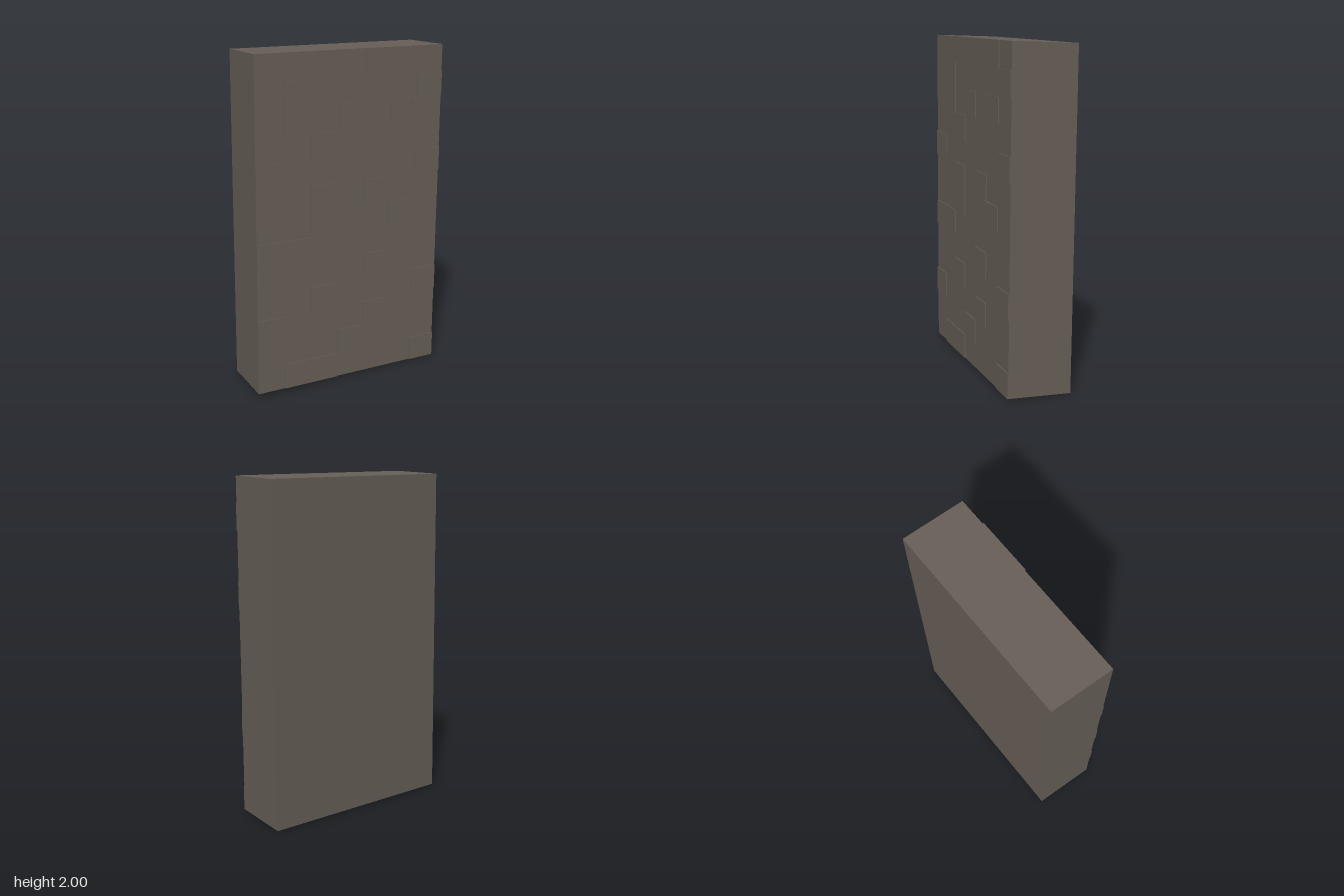
import * as THREE from 'three';

// Tile layout: [column, row from the top, columns wide, rows tall]
const COLS = 7, ROWS = 13;
const TILES = [
  [4, 0, 2, 1], [6, 1, 1, 1], [1, 1, 1, 2], [3, 2, 1, 1], [5, 2, 1, 1],
  [2, 3, 1, 1], [0, 4, 1, 1], [6, 4, 1, 1], [2, 5, 1, 2], [4, 5, 1, 1],
  [5, 6, 1, 1], [0, 7, 2, 1], [4, 8, 1, 1], [2, 9, 1, 1], [6, 9, 1, 1],
  [0, 10, 1, 1], [4, 10, 1, 1], [3, 11, 1, 1], [1, 12, 2, 1], [6, 12, 1, 1],
];
const W = 1.21, H = 1.972, D = 0.375, RAISE = 0.006;

// Slight skew of the whole slab: width, height and depth axes, then its centre
const skew = new THREE.Matrix4().makeBasis(
  new THREE.Vector3(1, -0.0125, 0.0066),
  new THREE.Vector3(0.0115, 1, -0.0045),
  new THREE.Vector3(-0.066, 0.034, 1),
).setPosition(0, 1, -0.003);

export function createModel() {
  const model = new THREE.Group();
  model.name = 'tiledSlab';
  const material = new THREE.MeshStandardMaterial({ color: 0x675f57 });

  const addBlock = (name, w, h, d, x, y, z) => {
    const geometry = new THREE.BoxGeometry(w, h, d).translate(x, y, z).applyMatrix4(skew);
    const mesh = new THREE.Mesh(geometry, material);
    mesh.name = name;
    model.add(mesh);
  };

  // Main slab
  addBlock('slab', W, H, D, 0, 0, 0);

  // Thin raised tiles on the front face
  const cw = W / COLS, ch = H / ROWS;
  TILES.forEach(([col, row, w, h], i) => addBlock(
    `raisedTile${i + 1}`, w * cw, h * ch, RAISE,
    -W / 2 + (col + w / 2) * cw, H / 2 - (row + h / 2) * ch, D / 2 + RAISE / 2,
  ));

  return model;
}
